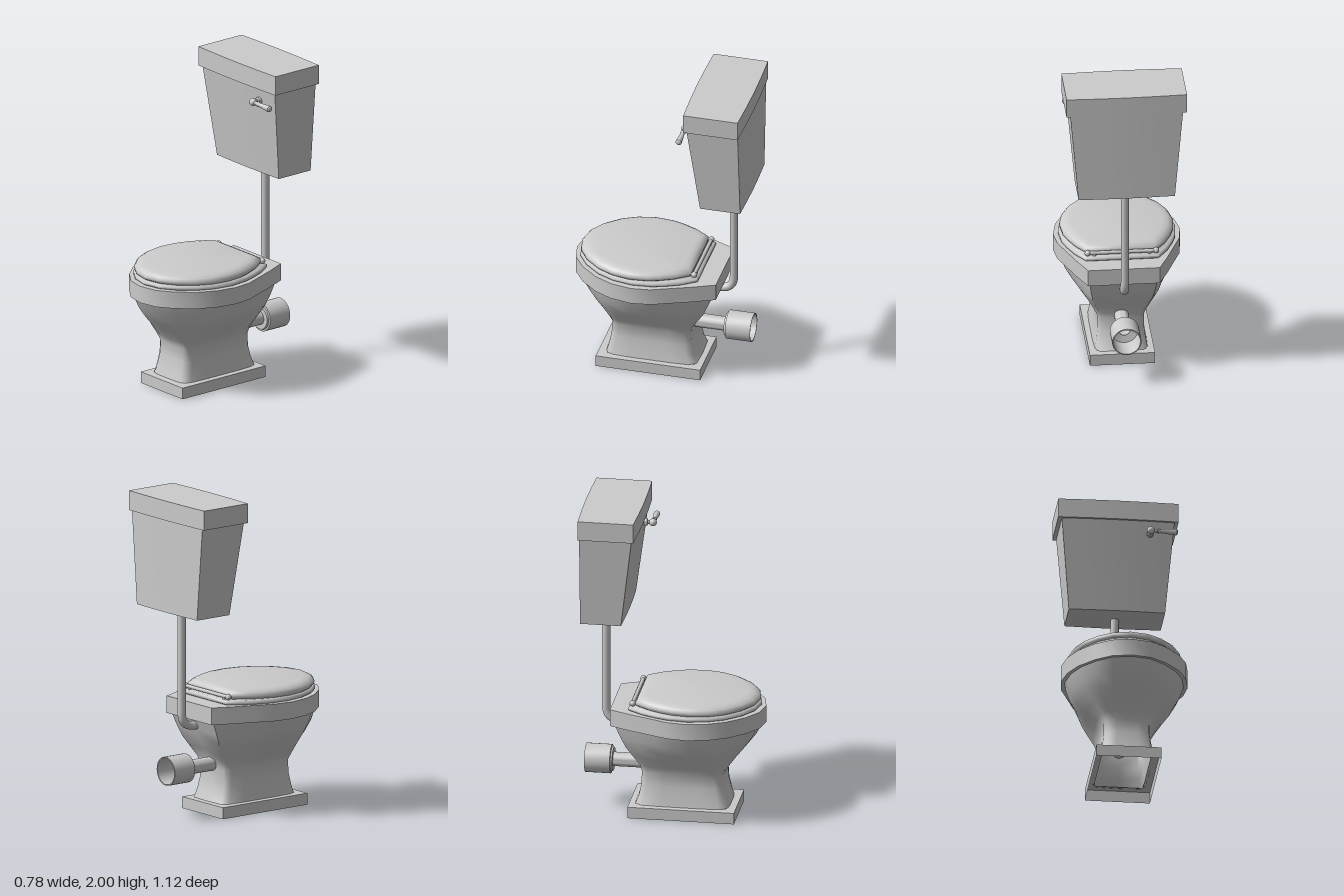
import * as THREE from 'three';
import { toCreasedNormals } from 'three/addons/utils/BufferGeometryUtils.js';

const material = new THREE.MeshStandardMaterial({ color: 0xcccccc, side: THREE.DoubleSide });

// Half outlines as [x, z] in -1..1, running from the front centre to the back centre
const EGG = [[0, 1], [0.31, 0.947], [0.565, 0.797], [0.8, 0.572], [0.936, 0.337], [1, 0.059],
  [0.962, -0.198], [0.86, -0.412], [0.72, -0.711], [0.565, -1], [0, -1]];
const SEAT = [[0, 1], [0.31, 0.94], [0.565, 0.785], [0.8, 0.54], [0.936, 0.28], [1, -0.03],
  [0.97, -0.342], [0.9, -0.544], [0.79, -0.772], [0.62, -1], [0, -1]];
const PEDESTAL = [[0, 1], [0.45, 1], [0.74, 0.98], [0.9, 0.92], [0.97, 0.8], [1, 0.45],
  [1, 0], [1, -0.45], [0.97, -0.84], [0.82, -0.98], [0, -1]];
const BOWED = [[0, 1], [0.5, 0.985], [1, 0.95], [1, -0.95], [0.5, -0.985], [0, -1]];
const SQUARE = [[0, 1], [1, 1], [1, -1], [0, -1]];

const mirror = (half) => [...half, ...half.slice(1, -1).reverse().map(([x, z]) => [-x, z])];

// Skin through sections [y, half width, front z, back z, blend towards second outline], bottom to top
function loft(sections, outline, { outlineB = outline, bottom = true, top = true, crease = 0.7 } = {}) {
  const a = mirror(outline), b = mirror(outlineB), n = a.length;
  const pos = [], index = [];
  for (const [y, w, front, back, t = 0] of sections) {
    const mid = (front + back) / 2, depth = (front - back) / 2;
    a.forEach(([x, z], j) => pos.push(
      w * THREE.MathUtils.lerp(x, b[j][0], t), y, mid + depth * THREE.MathUtils.lerp(z, b[j][1], t)));
  }
  for (let i = 0; i < sections.length - 1; i++) {
    for (let j = 0; j < n; j++) {
      const p = i * n + j, q = i * n + (j + 1) % n;
      index.push(p, q, p + n, q, q + n, p + n);
    }
  }
  const cap = (i, up) => {
    const [y, , front, back] = sections[i], c = pos.length / 3;
    pos.push(0, y, (front + back) / 2);
    for (let j = 0; j < n; j++) {
      const p = i * n + j, q = i * n + (j + 1) % n;
      index.push(c, up ? p : q, up ? q : p);
    }
  };
  if (bottom) cap(0, false);
  if (top) cap(sections.length - 1, true);
  const geometry = new THREE.BufferGeometry();
  geometry.setAttribute('position', new THREE.Float32BufferAttribute(pos, 3));
  geometry.setIndex(index);
  return toCreasedNormals(geometry, crease);
}

// Turned part from [radius, height] points
const turned = (points, segments = 20) => toCreasedNormals(
  new THREE.LatheGeometry(points.map(([r, y]) => new THREE.Vector2(r, y)), segments), 0.7);

export function createModel() {
  const model = new THREE.Group();
  const add = (name, geometry, x = 0, y = 0, z = 0, parent = model) => {
    const mesh = new THREE.Mesh(geometry, material);
    mesh.name = name;
    mesh.position.set(x, y, z);
    parent.add(mesh);
    return mesh;
  };

  // Foot plinth, open underneath
  add('plinth', loft([[0, 0.2, 0.39, -0.27], [0.072, 0.2, 0.39, -0.27], [0.076, 0.15, 0.33, -0.22]],
    SQUARE, { bottom: false, top: false }));

  // Hollow pedestal flaring into the bowl
  add('bowl', loft([
    [0.074, 0.166, 0.347, -0.237, 1],
    [0.13, 0.156, 0.332, -0.215, 1],
    [0.2, 0.147, 0.318, -0.2, 1],
    [0.285, 0.146, 0.312, -0.197, 1],
    [0.33, 0.178, 0.34, -0.205, 0.8],
    [0.4, 0.24, 0.395, -0.248, 0.45],
    [0.46, 0.295, 0.447, -0.285, 0.22],
    [0.53, 0.337, 0.5, -0.315, 0.08],
    [0.61, 0.365, 0.54, -0.347, 0],
  ], EGG, { outlineB: PEDESTAL, bottom: false, top: false, crease: 1.0 }));

  add('rim', loft([[0.608, 0.39, 0.56, -0.375], [0.715, 0.39, 0.56, -0.375]], EGG));

  // Seat and closed domed lid
  add('seat', loft([
    [0.714, 0.35, 0.52, -0.25], [0.722, 0.36, 0.532, -0.26],
    [0.735, 0.36, 0.532, -0.26], [0.744, 0.35, 0.52, -0.25],
  ], SEAT, { crease: 1.0 }));
  add('lid', loft([
    [0.742, 0.335, 0.505, -0.2], [0.754, 0.347, 0.524, -0.216], [0.77, 0.349, 0.527, -0.218],
    [0.785, 0.338, 0.515, -0.21], [0.797, 0.318, 0.49, -0.192], [0.803, 0.285, 0.455, -0.165],
  ], SEAT, { crease: 1.0 }));

  // Hinge bar with end knobs and posts
  add('hingeBar', new THREE.CylinderGeometry(0.012, 0.012, 0.42, 12), 0, 0.762, -0.235).rotation.z = Math.PI / 2;
  for (const side of [-1, 1]) {
    add('hingeKnob', new THREE.SphereGeometry(0.019, 14, 10), side * 0.21, 0.762, -0.235);
    add('hingePost', new THREE.CylinderGeometry(0.01, 0.01, 0.05, 10), side * 0.17, 0.736, -0.235);
  }

  // Cistern with overhanging cover
  add('cistern', loft([[1.3, 0.296, -0.288, -0.554], [1.885, 0.347, -0.212, -0.554]], BOWED));
  add('cisternCover', loft([[1.878, 0.37, -0.198, -0.56], [2, 0.37, -0.198, -0.56]], BOWED));

  // Flush pipe bending forward into the bowl
  const path = new THREE.CurvePath();
  const v = (y, z) => new THREE.Vector3(0, y, z);
  path.add(new THREE.LineCurve3(v(1.31, -0.432), v(0.66, -0.432)));
  path.add(new THREE.CubicBezierCurve3(v(0.66, -0.432), v(0.6, -0.432), v(0.57, -0.41), v(0.565, -0.35)));
  path.add(new THREE.LineCurve3(v(0.565, -0.35), v(0.56, -0.29)));
  add('flushPipe', new THREE.TubeGeometry(path, 60, 0.026, 16));

  // Waste outlet with an open socket
  add('wastePipe', turned([[0.044, 0.12], [0.044, 0.385], [0.074, 0.385], [0.078, 0.396], [0.09, 0.398],
    [0.09, 0.556], [0.083, 0.556], [0.083, 0.405], [0.036, 0.395]], 28), 0, 0.305, 0).rotation.x = -Math.PI / 2;

  // Flush lever: rosette, stem, ball and tapered handle
  const lever = new THREE.Group();
  lever.name = 'flushLever';
  lever.position.set(0.196, 1.798, -0.174);
  model.add(lever);
  add('leverBall', new THREE.SphereGeometry(0.024, 18, 12), 0, 0, 0, lever);
  add('leverStem', turned([[0.012, 0], [0.012, 0.03], [0.022, 0.034], [0.022, 0.06]]), 0, 0, 0, lever)
    .rotation.x = -Math.PI / 2;
  add('leverHandle', turned([[0.012, 0.015], [0.012, 0.04], [0.016, 0.044], [0.016, 0.05], [0.012, 0.056],
    [0.019, 0.145], [0.019, 0.158], [0.013, 0.164], [0, 0.166]]), 0, 0, 0, lever)
    .rotation.z = -Math.PI / 2 - 0.03;

  return model;
}
